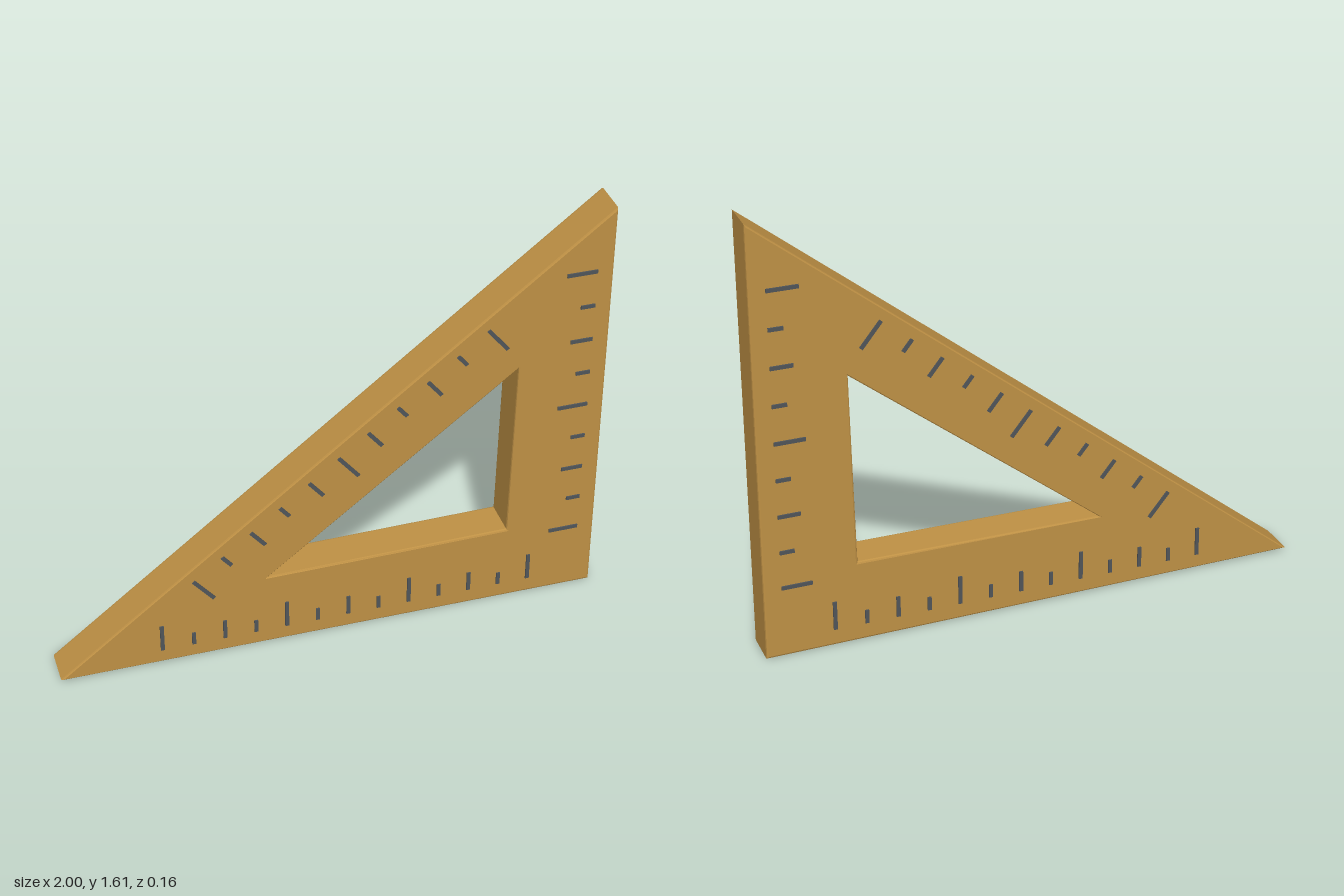
import * as THREE from 'three';

const HALF = 0.073; // half thickness of the board
const BEVEL = 0.008;

export function createModel() {
  const model = new THREE.Group();
  model.name = 'setSquare';
  const wood = new THREE.MeshStandardMaterial({ color: 0xbf9145 });
  const ink = new THREE.MeshStandardMaterial({ color: 0x50555a });
  const points = (list) => list.map(([x, y]) => new THREE.Vector2(x, y));

  // Triangular board with a triangular window and softened edges
  const outline = new THREE.Shape(points([[-1, 0.012], [1, 0], [0.993, 1.606]]));
  outline.holes.push(new THREE.Path(points([[-0.24, 0.303], [0.67, 1.02], [0.66, 0.312]])));
  const boardGeometry = new THREE.ExtrudeGeometry(outline, {
    depth: 2 * (HALF - BEVEL), bevelEnabled: true, bevelThickness: BEVEL,
    bevelSize: BEVEL, bevelOffset: -BEVEL, bevelSegments: 2,
  });
  boardGeometry.translate(0, 0, -(HALF - BEVEL));
  const board = new THREE.Mesh(boardGeometry, wood);
  board.name = 'board';
  model.add(board);

  // A row of raised marks on both faces; each starts on a line and runs along angle
  function addScale(name, count, start, step, angle, lengthOf) {
    const scale = new THREE.Group();
    scale.name = name;
    for (let i = 0; i < count; i++) {
      const length = lengthOf(i);
      const x = start[0] + step[0] * i + Math.cos(angle) * length / 2;
      const y = start[1] + step[1] * i + Math.sin(angle) * length / 2;
      for (const side of [-1, 1]) {
        const mark = new THREE.Mesh(new THREE.BoxGeometry(length, 0.014, 0.012), ink);
        mark.name = side > 0 ? 'frontMark' : 'backMark';
        mark.position.set(x, y, side * (HALF - 0.001));
        mark.rotation.z = angle;
        scale.add(mark);
      }
    }
    model.add(scale);
  }

  const byFour = (i) => (i % 4 === 0 ? 0.11 : i % 2 === 0 ? 0.08 : 0.052);
  const byFive = (i) => (i % 5 === 0 ? 0.115 : i % 2 === 0 ? 0.08 : 0.052);
  addScale('bottomScale', 13, [-0.63, 0.065], [0.115, 0], Math.PI / 2, byFour);
  addScale('sideScale', 9, [0.935, 0.27], [0, 0.1375], Math.PI, byFour);
  addScale('slopeScale', 11, [-0.508, 0.35], [0.106, 0.0852], Math.atan2(-0.78, 0.63), byFive);

  return model;
}
